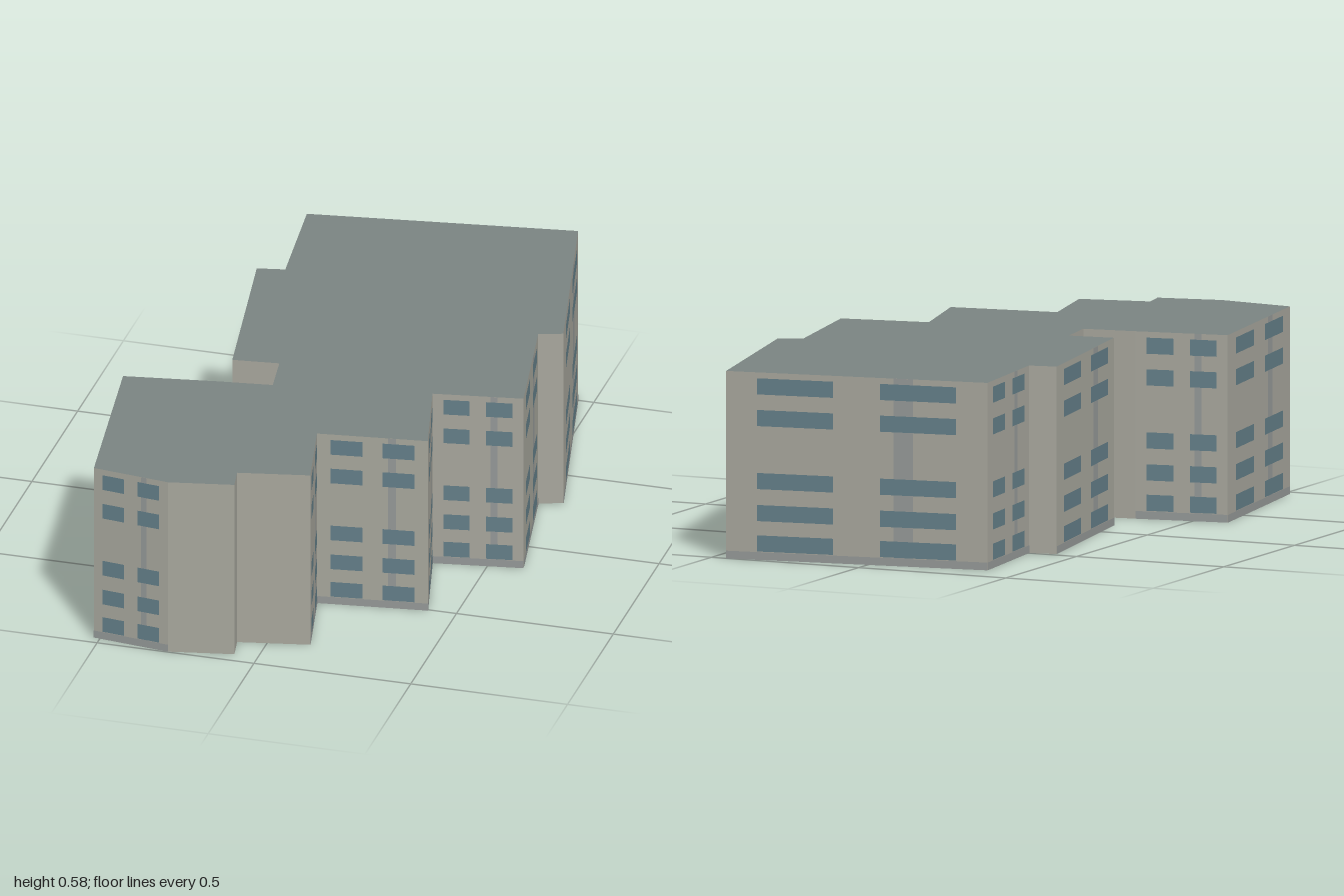
import * as THREE from 'three';

const HEIGHT = 0.58;

// Footprint corners [x, z, windowed], going round from the back corner on the -x side;
// the flag belongs to the wall that starts at that corner.
const FOOTPRINT = [
  [-0.38, -0.88, 1], [0.45, -1.0, 1], [0.603, -0.315, 0], [0.53, -0.29, 1],
  [0.61, 0.145, 1], [0.333, 0.19, 1], [0.41, 0.505, 1], [0.07, 0.55, 1],
  [0.13, 0.83, 0], [-0.09, 0.875, 0], [-0.075, 0.957, 0], [-0.275, 0.997, 1],
  [-0.52, 0.967, 1], [-0.61, 0.34, 1], [-0.32, 0.293, 0], [-0.153, 0.27, 0],
  [-0.175, 0.123, 0], [-0.32, 0.14, 1], [-0.423, -0.48, 0], [-0.337, -0.497, 1],
];

// Window columns as fractions of the wall width, and the bottom of each window row
const COLUMNS = [[0.12, 0.41], [0.59, 0.88]];
const ROWS = [0.026, 0.12, 0.219, 0.414, 0.512];
const WINDOW_HEIGHT = 0.05;

const material = (color, side = THREE.FrontSide) =>
  new THREE.MeshStandardMaterial({ color, side });

const wallMat = material(0xa9a89e, THREE.DoubleSide);
const roofMat = material(0x7b8482, THREE.DoubleSide);
const windowMat = material(0x65808a);
const stripMat = material(0x969a99);

// Upright panel given by its left/right and bottom/top edges
function panel(name, mat, x0, x1, y0, y1, z) {
  const mesh = new THREE.Mesh(new THREE.PlaneGeometry(x1 - x0, y1 - y0), mat);
  mesh.position.set((x0 + x1) / 2, (y0 + y1) / 2, z);
  mesh.name = name;
  return mesh;
}

// One facade between two corners; local +z points outwards
function facade(a, b) {
  const dx = b[0] - a[0], dz = b[1] - a[1];
  const w = Math.hypot(dx, dz);
  const group = new THREE.Group();
  group.name = 'facade';
  group.position.set(b[0], 0, b[1]);
  group.rotation.y = Math.atan2(dz, -dx);
  group.add(panel('wall', wallMat, 0, w, 0, HEIGHT, 0));
  if (a[2]) {
    group.add(panel('plinth', stripMat, 0, w, 0, 0.024, 0.001));
    group.add(panel('verticalStrip', stripMat, 0.64 * w, 0.715 * w, 0.024, HEIGHT, 0.001));
    for (const [u0, u1] of COLUMNS)
      for (const y of ROWS)
        group.add(panel('window', windowMat, u0 * w, u1 * w, y, y + WINDOW_HEIGHT, 0.002));
  }
  return group;
}

export function createModel() {
  const model = new THREE.Group();
  model.name = 'apartmentBlock';

  // Walls, open underneath
  FOOTPRINT.forEach((a, i) => model.add(facade(a, FOOTPRINT[(i + 1) % FOOTPRINT.length])));

  // Flat roof
  const outline = new THREE.Shape(FOOTPRINT.map(([x, z]) => new THREE.Vector2(x, -z)));
  const roof = new THREE.Mesh(new THREE.ShapeGeometry(outline).rotateX(-Math.PI / 2), roofMat);
  roof.position.y = HEIGHT;
  roof.name = 'roof';
  model.add(roof);

  return model;
}
